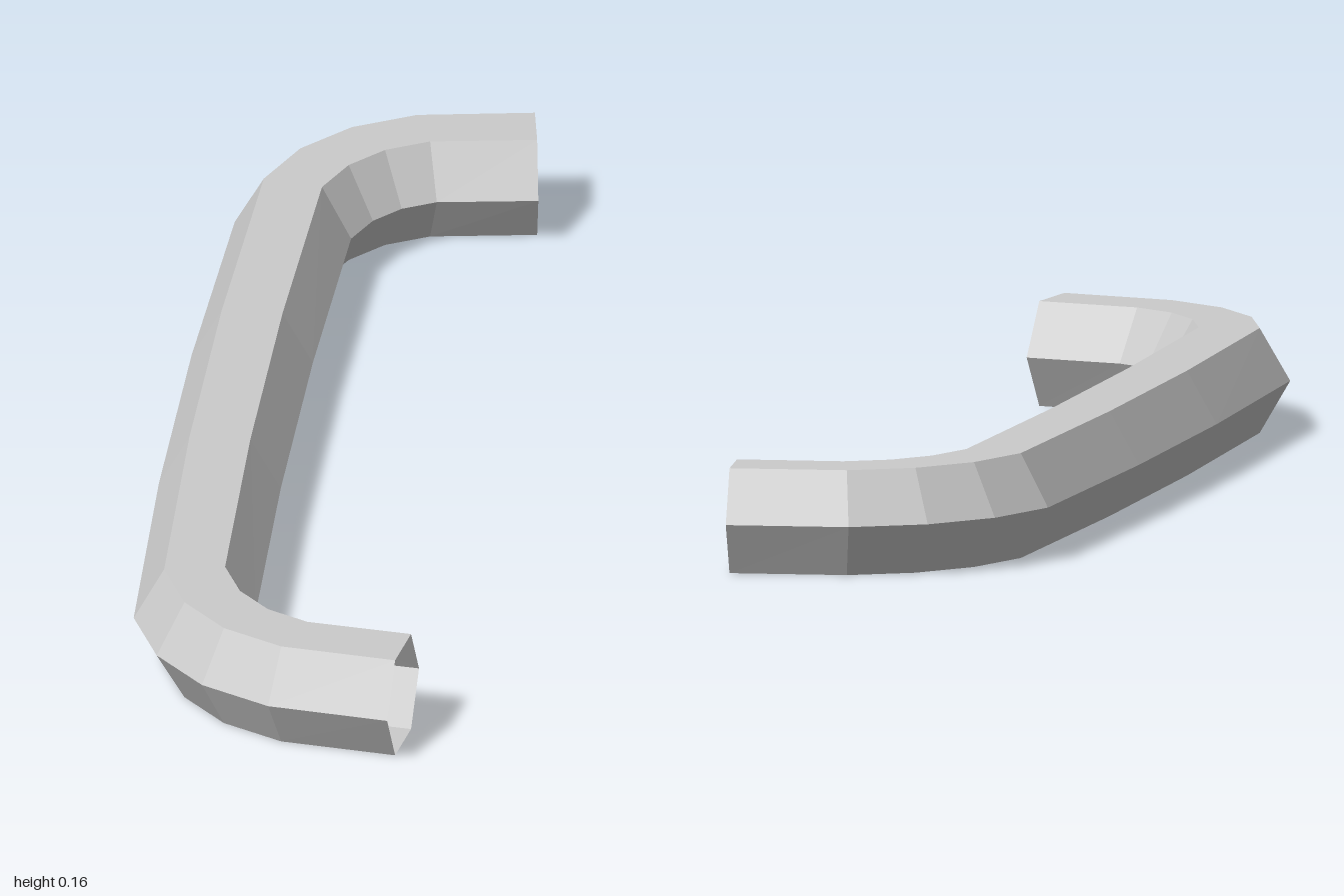
import * as THREE from 'three';

const SIDES = 6;
const RADIUS = 0.094;

// Sweep an open polygonal tube along a path lying in the xz plane
function sweepTube(path, radius, sides, y) {
  const positions = [];
  const index = [];
  path.forEach((p, i) => {
    const before = path[i - 1], after = path[i + 1];
    const tangent = new THREE.Vector2();
    if (before) tangent.add(p.clone().sub(before).normalize());
    if (after) tangent.add(after.clone().sub(p).normalize());
    tangent.normalize();
    for (let j = 0; j < sides; j++) {
      const a = (j / sides) * Math.PI * 2;
      const side = radius * Math.cos(a);
      positions.push(p.x + tangent.y * side, y + radius * Math.sin(a), p.y - tangent.x * side);
      if (after) {
        const k = (j + 1) % sides;
        const a0 = i * sides + j, a1 = i * sides + k;
        index.push(a0, a1, a0 + sides, a1, a1 + sides, a0 + sides);
      }
    }
  });
  const geometry = new THREE.BufferGeometry();
  geometry.setAttribute('position', new THREE.Float32BufferAttribute(positions, 3));
  geometry.setIndex(index);
  const flat = geometry.toNonIndexed();
  flat.computeVertexNormals();
  return flat;
}

export function createModel() {
  const group = new THREE.Group();
  group.name = 'pullHandle';

  // Half of the centre line (x, z): slightly bowed grip, then a rounded bend to the mount
  const half = [
    [-0.14, 0.22], [-0.128, 0.67], [-0.09, 0.765],
    [-0.03, 0.835], [0.05, 0.88], [0.221, 0.906],
  ].map(([x, z]) => new THREE.Vector2(x, z));
  const mirrored = half.map((p) => new THREE.Vector2(p.x, -p.y)).reverse();

  // Hexagonal bar, open at both ends
  const material = new THREE.MeshStandardMaterial({
    color: 0xcccccc, flatShading: true, side: THREE.DoubleSide,
  });
  const y = RADIUS * Math.sin(Math.PI / 3);
  const bar = new THREE.Mesh(sweepTube([...mirrored, ...half], RADIUS, SIDES, y), material);
  bar.name = 'handleBar';
  group.add(bar);
  return group;
}
